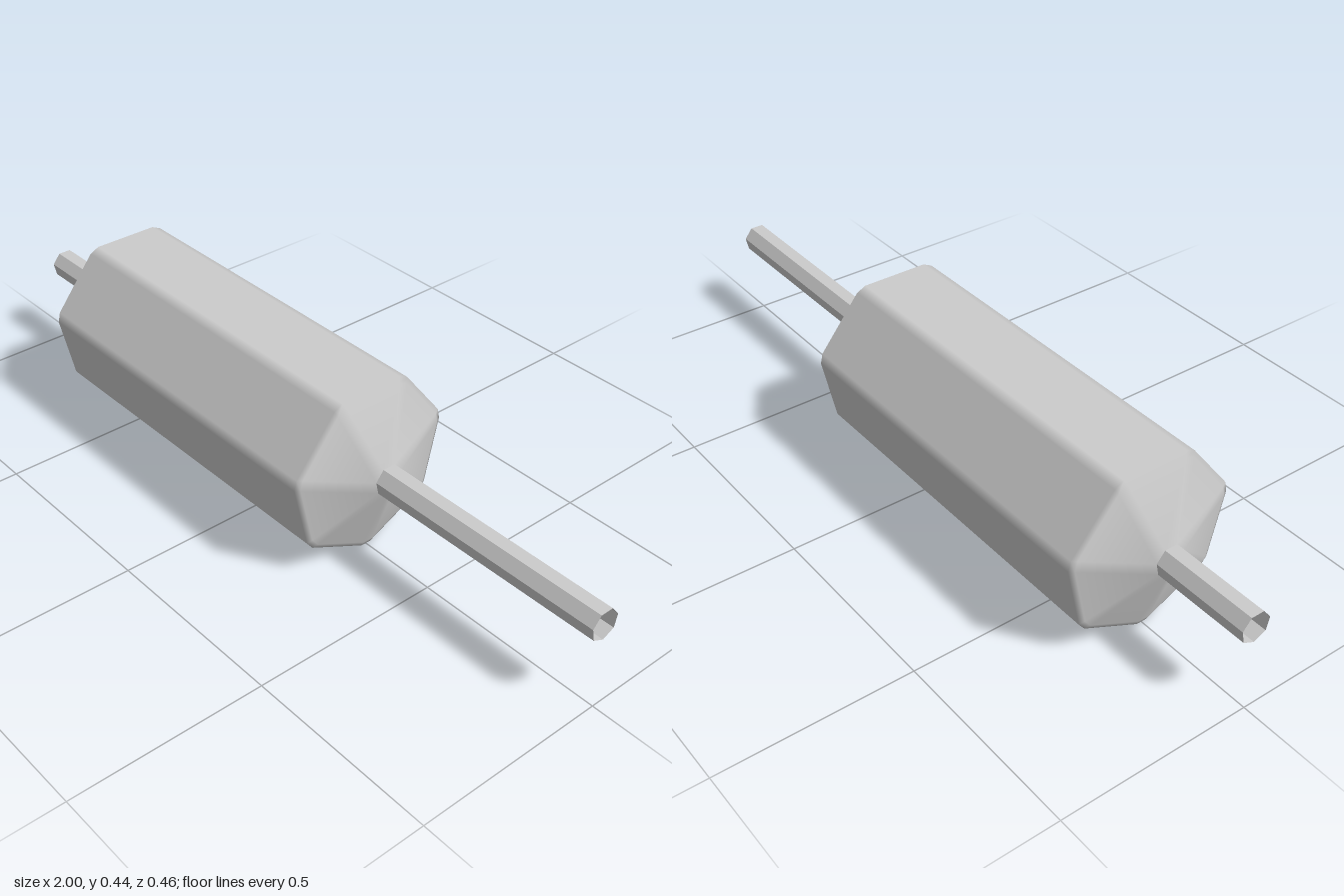
import * as THREE from 'three';

const SIDES = 7;
const STEP = (Math.PI * 2) / SIDES;
const CENTER_Y = 0.231;
const ROD_R = 0.04;
const BODY_R = 0.2375;
const CUT = 0.0153; // how far each corner is cut back along its edges
const MID_X = -0.195; // middle of the body along the rod

// Heptagon ring of corner pairs; each point leans toward its neighbouring flat.
// slope is the x component of the normal, spread is 0 for normals at the corner.
function ring(x, radius, cut, slope, spread) {
  const points = [];
  const radial = Math.sqrt(1 - slope * slope);
  for (let k = 0; k < SIDES; k++) {
    const a = -Math.PI / 2 + k * STEP;
    for (const s of [-1, 1]) {
      const b = a + s * STEP;
      const edge = 2 * radius * Math.sin(STEP / 2);
      const t = cut / edge;
      const n = a + s * spread * STEP / 2;
      points.push({
        p: [
          x,
          CENTER_Y + radius * (Math.sin(a) * (1 - t) + Math.sin(b) * t),
          radius * (Math.cos(a) * (1 - t) + Math.cos(b) * t),
        ],
        n: [slope, radial * Math.sin(n), radial * Math.cos(n)],
      });
    }
  }
  return points;
}

// Skin joining successive rings, listed from -x to +x
function loft(rings) {
  const count = SIDES * 2;
  const position = [], normal = [], index = [];
  rings.forEach((r) => r.forEach((v) => {
    position.push(...v.p);
    normal.push(...v.n);
  }));
  for (let r = 0; r < rings.length - 1; r++) {
    for (let i = 0; i < count; i++) {
      const j = (i + 1) % count;
      const a = r * count + i, b = a + count;
      const c = r * count + j, d = c + count;
      index.push(a, b, c, b, d, c);
    }
  }
  const g = new THREE.BufferGeometry();
  g.setAttribute('position', new THREE.Float32BufferAttribute(position, 3));
  g.setAttribute('normal', new THREE.Float32BufferAttribute(normal, 3));
  g.setIndex(index);
  return g;
}

export function createModel() {
  const group = new THREE.Group();

  // Roller body: sloped end caps, narrow rim bevels and long flats
  const smooth = new THREE.MeshStandardMaterial({ color: 0xcccccc, side: THREE.DoubleSide });
  const half = [
    [0.55, ROD_R, 0, 0.94, 0],
    [0.489, BODY_R - 0.014, CUT, 0.94, 1],
    [0.482, BODY_R, CUT, 0, 1],
  ];
  const left = half.map(([x, r, c, s, w]) => ring(MID_X - x, r, c, -s, w));
  const right = half.map(([x, r, c, s, w]) => ring(MID_X + x, r, c, s, w)).reverse();
  const body = new THREE.Mesh(loft([...left, ...right]), smooth);
  body.name = 'rollerBody';
  group.add(body);

  // Hollow handles, open at both ends
  const flat = new THREE.MeshStandardMaterial({
    color: 0xcccccc, flatShading: true, side: THREE.DoubleSide,
  });
  const handle = (name, x0, x1) => {
    const mesh = new THREE.Mesh(
      loft([ring(x0, ROD_R, 0, 0, 1), ring(x1, ROD_R, 0, 0, 1)]), flat);
    mesh.name = name;
    group.add(mesh);
  };
  handle('rightHandle', -1, MID_X - 0.55);
  handle('leftHandle', MID_X + 0.55, 1);

  return group;
}
